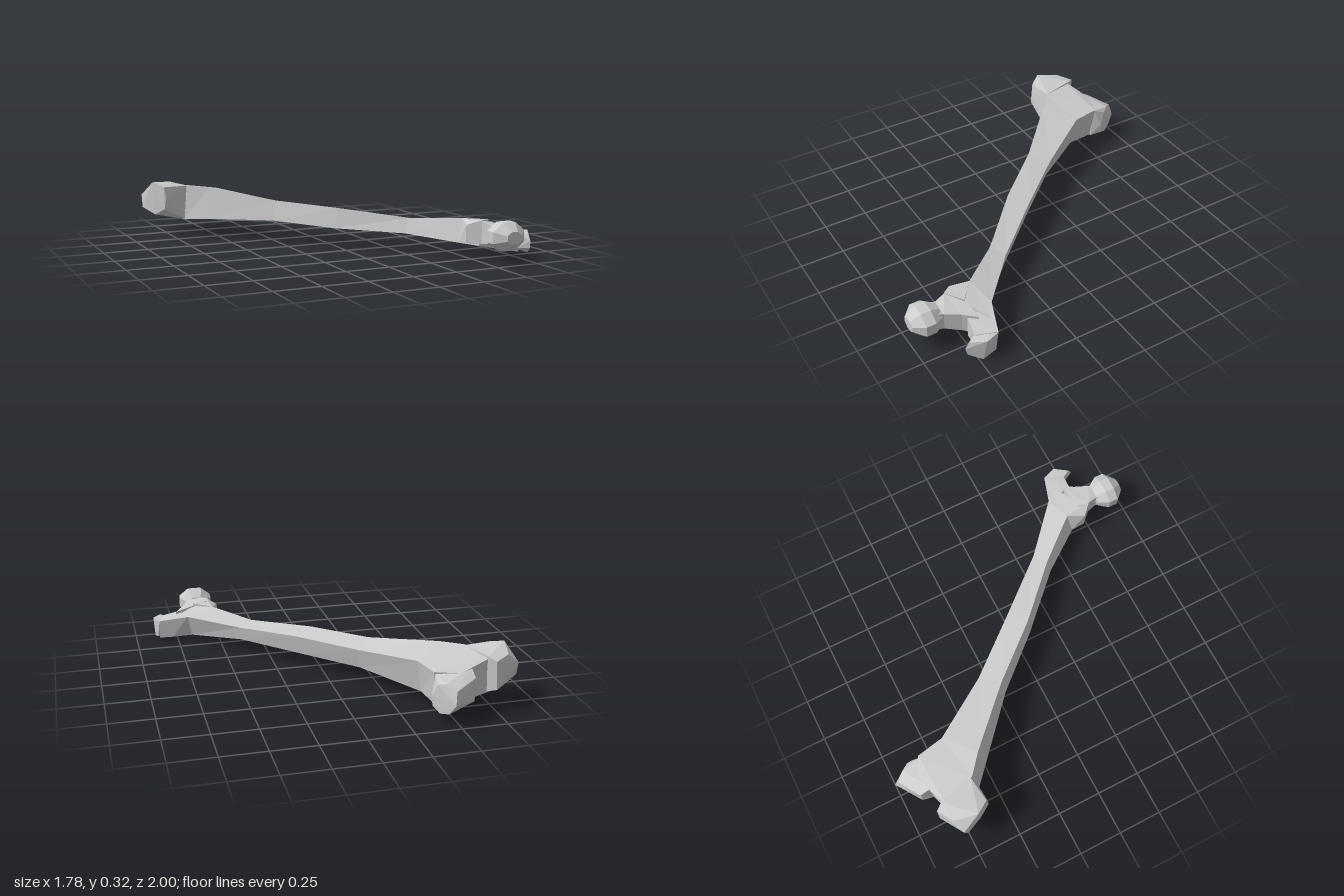
import * as THREE from 'three';
import { ConvexGeometry } from 'three/addons/geometries/ConvexGeometry.js';

const material = new THREE.MeshStandardMaterial({ color: 0xcccccc, flatShading: true });

// Skin a row of four-cornered cross-sections and cap both ends.
function loft(rings) {
  const n = rings[0].length;
  const index = [];
  for (let i = 0; i < rings.length - 1; i++) {
    for (let j = 0; j < n; j++) {
      const k = (j + 1) % n;
      const a = i * n + j, b = i * n + k, c = b + n, d = a + n;
      index.push(a, d, c, a, c, b);
    }
  }
  const last = (rings.length - 1) * n;
  for (let j = 1; j < n - 1; j++) {
    index.push(0, j, j + 1, last, last + j + 1, last + j);
  }
  const geometry = new THREE.BufferGeometry();
  geometry.setAttribute('position', new THREE.Float32BufferAttribute(rings.flat(2), 3));
  geometry.setIndex(index);
  geometry.computeVertexNormals();
  return geometry;
}

// Faceted lump around a handful of corner points.
const lump = (points) => new ConvexGeometry(points.map((p) => new THREE.Vector3(...p)));

export function createModel() {
  const bone = new THREE.Group();
  bone.name = 'thighBone';
  const add = (name, geometry) => {
    const mesh = new THREE.Mesh(geometry, material);
    mesh.name = name;
    bone.add(mesh);
    return mesh;
  };

  // Shaft, from the knee end to the hip end
  add('shaft', loft([
    [[-0.74, 0.30, -0.80], [-0.53, 0.25, -0.87], [-0.53, 0.08, -0.86], [-0.73, 0.10, -0.80]],
    [[-0.65, 0.30, -0.61], [-0.40, 0.25, -0.82], [-0.42, 0.06, -0.80], [-0.68, 0.10, -0.59]],
    [[-0.54, 0.295, -0.52], [-0.37, 0.25, -0.66], [-0.40, 0.065, -0.64], [-0.57, 0.11, -0.49]],
    [[-0.23, 0.235, -0.22], [-0.14, 0.205, -0.32], [-0.16, 0.09, -0.30], [-0.26, 0.12, -0.21]],
    [[0.03, 0.215, 0.08], [0.13, 0.19, 0.00], [0.10, 0.08, 0.00], [0.00, 0.10, 0.08]],
    [[0.33, 0.18, 0.37], [0.41, 0.155, 0.32], [0.40, 0.075, 0.33], [0.30, 0.095, 0.38]],
    [[0.53, 0.20, 0.61], [0.69, 0.16, 0.57], [0.66, 0.03, 0.60], [0.49, 0.07, 0.63]],
    [[0.55, 0.21, 0.75], [0.78, 0.14, 0.62], [0.76, 0.02, 0.66], [0.54, 0.07, 0.76]],
  ]));

  // Two rounded knuckles at the knee end
  add('outerKneeKnuckle', lump([
    [-0.80, 0.30, -0.60], [-0.79, 0.24, -0.59], [-0.80, 0.17, -0.59], [-0.84, 0.13, -0.66],
    [-0.89, 0.165, -0.76], [-0.89, 0.24, -0.78], [-0.85, 0.325, -0.67], [-0.82, 0.30, -0.80],
    [-0.82, 0.15, -0.81], [-0.65, 0.30, -0.62], [-0.67, 0.10, -0.59], [-0.73, 0.29, -0.86],
    [-0.74, 0.13, -0.86], [-0.70, 0.10, -0.80], [-0.70, 0.305, -0.82],
  ]));
  add('innerKneeKnuckle', lump([
    [-0.47, 0.20, -0.98], [-0.46, 0.13, -1.00], [-0.44, 0.07, -0.96], [-0.41, 0.055, -0.91],
    [-0.385, 0.08, -0.86], [-0.38, 0.14, -0.86], [-0.40, 0.21, -0.89], [-0.43, 0.225, -0.93],
    [-0.60, 0.23, -0.90], [-0.60, 0.10, -0.90], [-0.61, 0.09, -0.84], [-0.60, 0.27, -0.83],
    [-0.41, 0.24, -0.82], [-0.41, 0.06, -0.80],
  ]));

  // Small knob on the inside of the hip end
  add('smallHipKnob', lump([
    [0.53, 0.20, 0.61], [0.49, 0.18, 0.71], [0.49, 0.08, 0.71], [0.49, 0.07, 0.63],
    [0.55, 0.21, 0.77], [0.55, 0.08, 0.77], [0.64, 0.20, 0.70], [0.62, 0.06, 0.70],
  ]));

  // Neck leading to the ball joint
  add('neck', loft([
    [[0.55, 0.21, 0.70], [0.75, 0.16, 0.68], [0.75, 0.04, 0.68], [0.55, 0.07, 0.70]],
    [[0.55, 0.205, 0.77], [0.70, 0.17, 0.75], [0.70, 0.06, 0.75], [0.55, 0.08, 0.77]],
    [[0.565, 0.19, 0.83], [0.66, 0.18, 0.83], [0.66, 0.08, 0.83], [0.565, 0.09, 0.83]],
    [[0.55, 0.19, 0.88], [0.65, 0.19, 0.88], [0.65, 0.09, 0.88], [0.55, 0.09, 0.88]],
  ]));

  // Faceted ball joint
  const profile = [[0, -0.1], [0.062, -0.085], [0.1, -0.03], [0.1, 0.025], [0.045, 0.08], [0, 0.08]];
  const ball = add('ballJoint', new THREE.LatheGeometry(
    profile.map(([r, h]) => new THREE.Vector2(r, h)), 8, Math.PI / 8));
  ball.geometry.rotateX(Math.PI / 2).scale(1.05, 0.82, 1);
  ball.position.set(0.6, 0.145, 0.92);

  // Hooked projection on the outside of the hip end
  add('hookArm', lump([
    [0.69, 0.16, 0.57], [0.78, 0.14, 0.61], [0.72, 0.15, 0.73], [0.82, 0.125, 0.74],
    [0.86, 0.125, 0.63], [0.67, 0.03, 0.60], [0.78, 0.02, 0.62], [0.72, 0.03, 0.73],
    [0.82, 0.01, 0.73], [0.86, 0.01, 0.65],
  ]));
  add('hookTip', lump([
    [0.86, 0.12, 0.63], [0.89, 0.125, 0.71], [0.84, 0.115, 0.79], [0.84, 0.08, 0.81],
    [0.845, 0.04, 0.80], [0.88, 0.00, 0.73], [0.87, 0.02, 0.65], [0.81, 0.12, 0.74],
    [0.81, 0.03, 0.73], [0.80, 0.12, 0.64], [0.80, 0.03, 0.65],
  ]));

  return bone;
}
